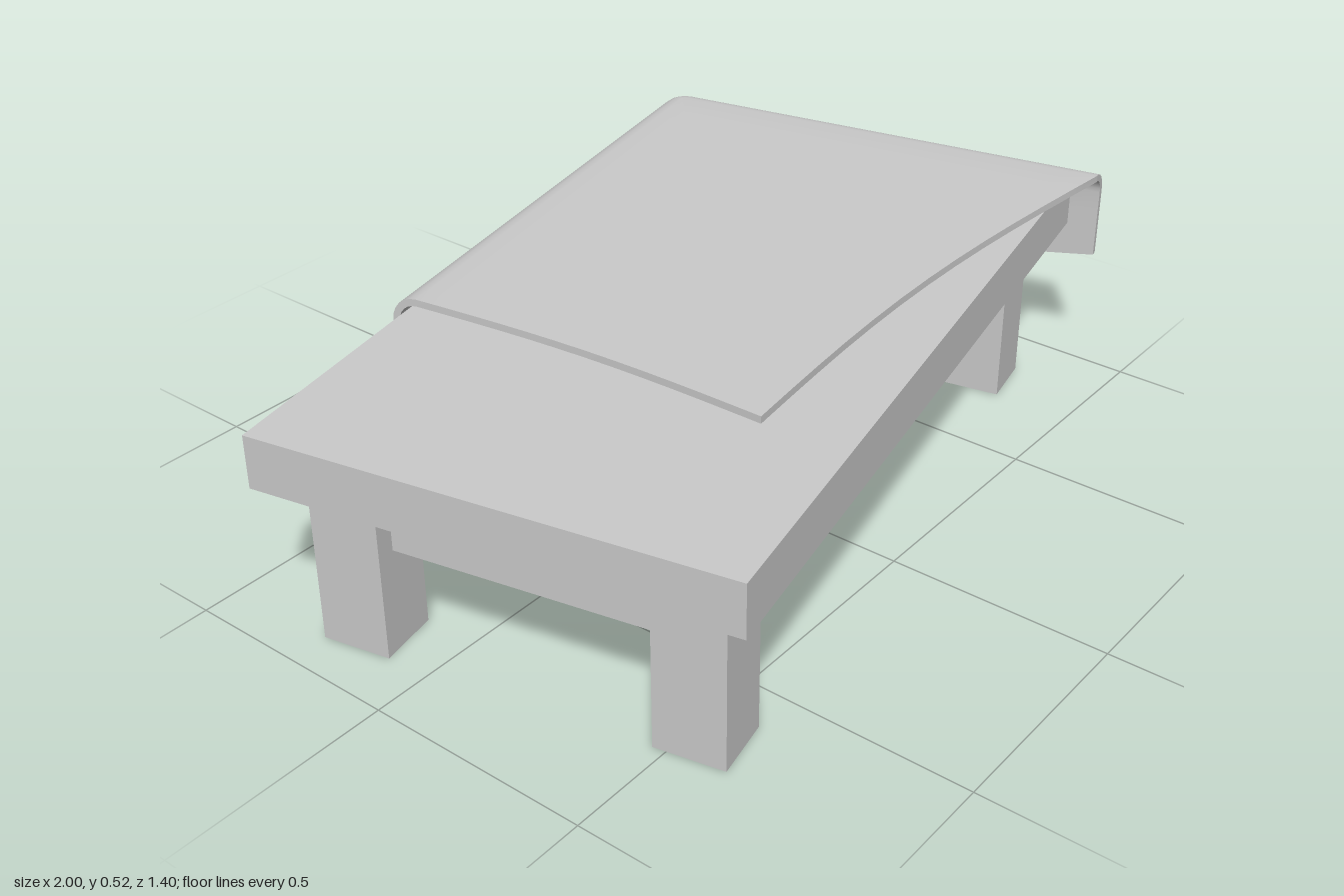
import * as THREE from 'three';
import { toCreasedNormals } from 'three/addons/utils/BufferGeometryUtils.js';

const material = new THREE.MeshStandardMaterial({ color: 0xcccccc });

// Box given by its centre in x and z, its bottom and top in y
function slab(name, w, d, y0, y1, x, z) {
  const mesh = new THREE.Mesh(new THREE.BoxGeometry(w, y1 - y0, d), material);
  mesh.name = name;
  mesh.position.set(x, (y0 + y1) / 2, z);
  return mesh;
}

// Rim of the cloth in plan: along the back, round the corner, along the right.
// Each entry holds position, outward normal and hem height.
function clothRim() {
  const r = 0.07, cx = 0.855, cz = -0.485, startX = -0.34, endZ = 0.577;
  const low = 0.178, rise = 0.119;
  const hem = (d) => low + rise * Math.pow(d, 1.4);
  const rim = [];
  for (let i = 0; i < 16; i++) {
    const f = i / 16;
    rim.push({ x: startX + (cx - startX) * f, z: cz - r, nx: 0, nz: -1, hem: hem(1 - f) });
  }
  for (let i = 0; i <= 8; i++) {
    const a = (i / 8) * Math.PI / 2;
    const nx = Math.sin(a), nz = -Math.cos(a);
    rim.push({ x: cx + r * nx, z: cz + r * nz, nx, nz, hem: low });
  }
  for (let i = 1; i <= 16; i++) {
    const f = i / 16;
    rim.push({ x: cx + r, z: cz + (endZ - cz) * f, nx: 1, nz: 0, hem: hem(f) });
  }
  return rim;
}

// One side of a cloth section: flat top, rolled edge, hanging drop
function clothSection(p, t, inset) {
  const top = 0.52, R = 0.06, x0 = -0.439, z0 = 0.33;
  const pts = [];
  const bx = p.x - p.nx * R, bz = p.z - p.nz * R;
  for (let j = 0; j <= 12; j++) {
    const s = j / 12, bow = Math.sin(Math.PI * s);
    pts.push([
      x0 + (bx - x0) * s + 0.02 * bow * (1 - t),
      top - inset,
      z0 + (bz - z0) * s - 0.043 * bow * t,
    ]);
  }
  for (let j = 1; j <= 6; j++) {
    const a = (j / 6) * Math.PI / 2, q = R - inset;
    pts.push([bx + p.nx * q * Math.sin(a), top - R + q * Math.cos(a), bz + p.nz * q * Math.sin(a)]);
  }
  for (let j = 1; j <= 3; j++) {
    const y = THREE.MathUtils.lerp(top - R, p.hem, j / 3);
    pts.push([p.x - p.nx * inset, y, p.z - p.nz * inset]);
  }
  return pts;
}

// Cloth fanned out from its front corner, with real thickness
function clothGeometry() {
  const rim = clothRim(), last = rim.length - 1;
  const positions = [], index = [];
  let loop = 0;
  rim.forEach((p, i) => {
    const ring = [...clothSection(p, i / last, 0), ...clothSection(p, i / last, 0.016).reverse()];
    loop = ring.length;
    ring.forEach((v) => positions.push(...v));
  });
  const id = (i, j) => i * loop + (j % loop);
  for (let i = 0; i < last; i++) {
    for (let j = 0; j < loop; j++) {
      const a = id(i, j), b = id(i + 1, j), c = id(i + 1, j + 1), d = id(i, j + 1);
      if (j !== 0 && j !== loop - 1) index.push(a, b, c); // sections meet at the corner
      if (j !== loop - 2 && j !== loop - 1) index.push(a, c, d);
      else if (j === loop - 2) index.push(a, b, d);
    }
  }
  // Cut edges at both ends of the fan
  for (let j = 0; j < loop / 2 - 1; j++) {
    const k = loop - 1 - j;
    index.push(id(0, j), id(0, j + 1), id(0, k - 1), id(0, j), id(0, k - 1), id(0, k));
    index.push(id(last, j), id(last, k - 1), id(last, j + 1), id(last, j), id(last, k), id(last, k - 1));
  }
  const geo = new THREE.BufferGeometry();
  geo.setAttribute('position', new THREE.Float32BufferAttribute(positions, 3));
  geo.setIndex(index);
  return toCreasedNormals(geo, Math.PI / 4);
}

export function createModel() {
  const model = new THREE.Group();
  model.name = 'drapedTable';

  // The whole table stands turned a little about the vertical
  const table = new THREE.Group();
  table.name = 'table';
  table.position.set(-0.0275, 0, 0.0225);
  table.rotation.y = 0.2055;
  model.add(table);

  const under = 0.378;
  table.add(slab('tableTop', 1.772, 1.027, under, 0.495, 0, 0));

  // Legs
  const legW = 0.138, legD = 0.152, legX = 0.741, legZ = 0.366;
  for (const sx of [-1, 1]) {
    for (const sz of [-1, 1]) {
      const name = (sz > 0 ? 'front' : 'back') + (sx > 0 ? 'Left' : 'Right') + 'Leg';
      table.add(slab(name, legW, legD, 0, under, sx * legX, sz * legZ));
    }
  }

  // Rails between the legs
  const rail = 0.052;
  for (const s of [-1, 1]) {
    table.add(slab(s > 0 ? 'frontRail' : 'backRail', 2 * legX - legW, rail, 0.23, under, 0, s * 0.368));
    table.add(slab(s > 0 ? 'leftRail' : 'rightRail', rail, 2 * legZ - legD, 0.23, under, s * 0.739, 0));
  }

  // Cloth hanging over the back and the left end
  const cloth = new THREE.Mesh(clothGeometry(), material);
  cloth.name = 'cloth';
  table.add(cloth);

  return model;
}
